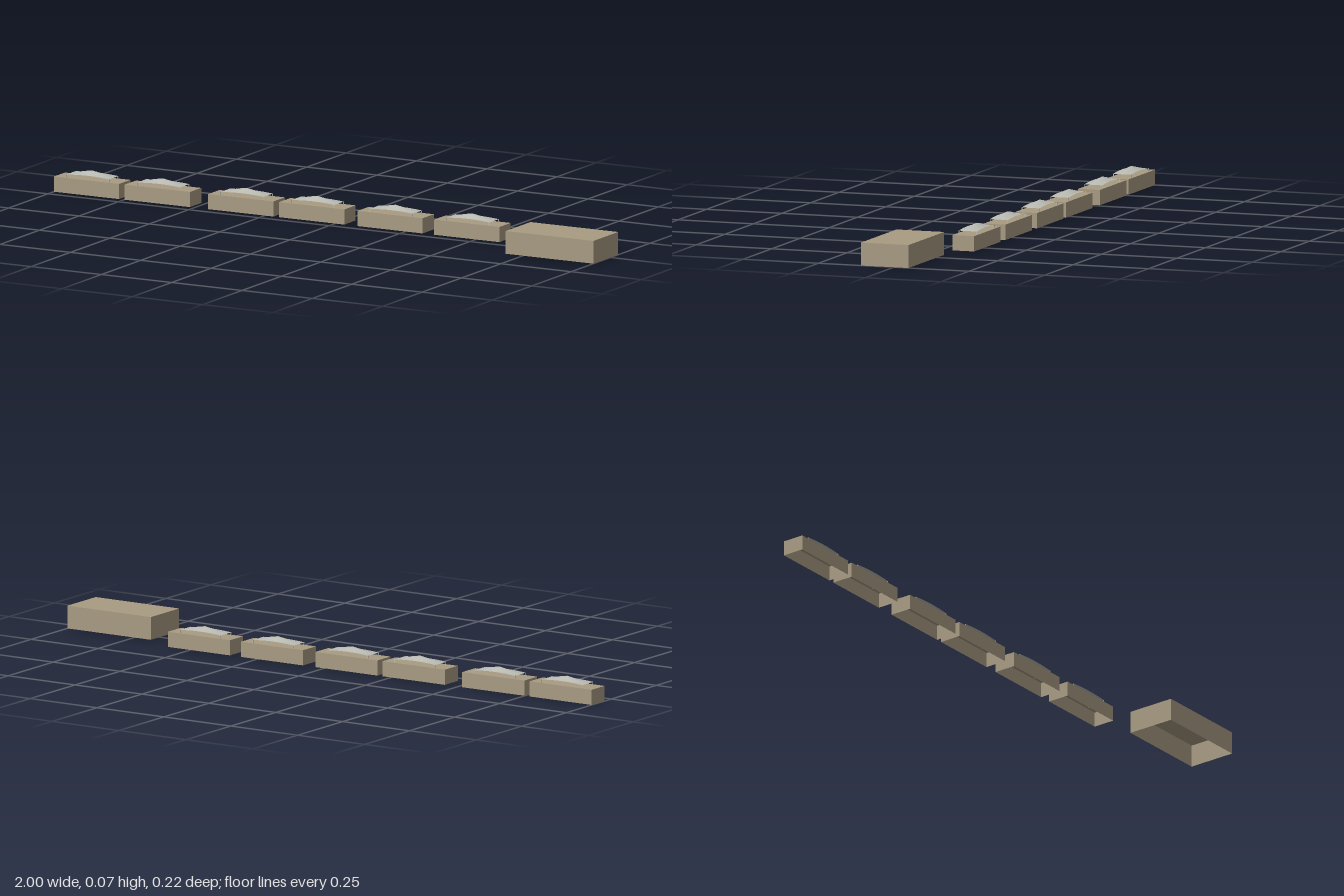
import * as THREE from 'three';

const wallMat = new THREE.MeshStandardMaterial({ color: 0xa89b82, side: THREE.DoubleSide });
const canopyMat = new THREE.MeshStandardMaterial({ color: 0xb9bbb3, side: THREE.DoubleSide });

// Box shell without a floor, given by its limits in x and z and its height
function openBox(name, x0, x1, z0, z1, height) {
  const geo = new THREE.BoxGeometry(x1 - x0, height, z1 - z0);
  const index = Array.from(geo.index.array);
  index.splice(18, 6); // drop the bottom face
  geo.setIndex(index);
  geo.clearGroups();
  const mesh = new THREE.Mesh(geo, wallMat);
  mesh.name = name;
  mesh.position.set((x0 + x1) / 2, height / 2, (z0 + z1) / 2);
  return mesh;
}

// Stretched sheet, bowed along its length and rising to a peak in the middle
function canopySheet(width, depth) {
  const geo = new THREE.PlaneGeometry(width, depth, 16, 8).rotateX(-Math.PI / 2);
  const p = geo.attributes.position;
  for (let i = 0; i < p.count; i++) {
    const u = Math.abs(p.getX(i)) / (width / 2);
    const v = Math.abs(p.getZ(i)) / (depth / 2);
    const bow = 0.004 * (1 - u * u);
    const peak = 0.012 * (1 - u) * Math.pow(Math.max(0, 1 - v), 1.2);
    p.setY(i, 0.057 + bow + peak);
  }
  geo.computeVertexNormals();
  const mesh = new THREE.Mesh(geo, canopyMat);
  mesh.name = 'canopySheet';
  return mesh;
}

export function createModel() {
  const model = new THREE.Group();
  model.name = 'rowOfBuildings';

  const smallHeight = 0.048, z0 = -0.109, z1 = -0.037;
  const canopyW = 0.154, canopyD = 0.06;

  // Six small units, each with a canopy on its roof
  [-0.884, -0.632, -0.335, -0.083, 0.195, 0.468].forEach((x) => {
    const unit = new THREE.Group();
    unit.name = 'smallUnit';
    unit.position.x = x;
    unit.add(openBox('unitShell', -0.116, 0.116, z0, z1, smallHeight));

    const canopy = new THREE.Group();
    canopy.name = 'canopy';
    canopy.position.z = (z0 + z1) / 2;
    canopy.add(canopySheet(canopyW, canopyD));

    // Thin corner posts
    for (const sx of [-1, 1]) for (const sz of [-1, 1]) {
      const post = new THREE.Mesh(new THREE.BoxGeometry(0.002, 0.01, 0.002), canopyMat);
      post.name = 'canopyPost';
      post.position.set(sx * (canopyW / 2 - 0.001), smallHeight + 0.0045, sz * (canopyD / 2 - 0.001));
      canopy.add(post);
    }
    unit.add(canopy);
    model.add(unit);
  });

  // Larger plain block at the end of the row
  model.add(openBox('largeBlock', 0.688, 1, -0.049, 0.109, 0.072));
  return model;
}
